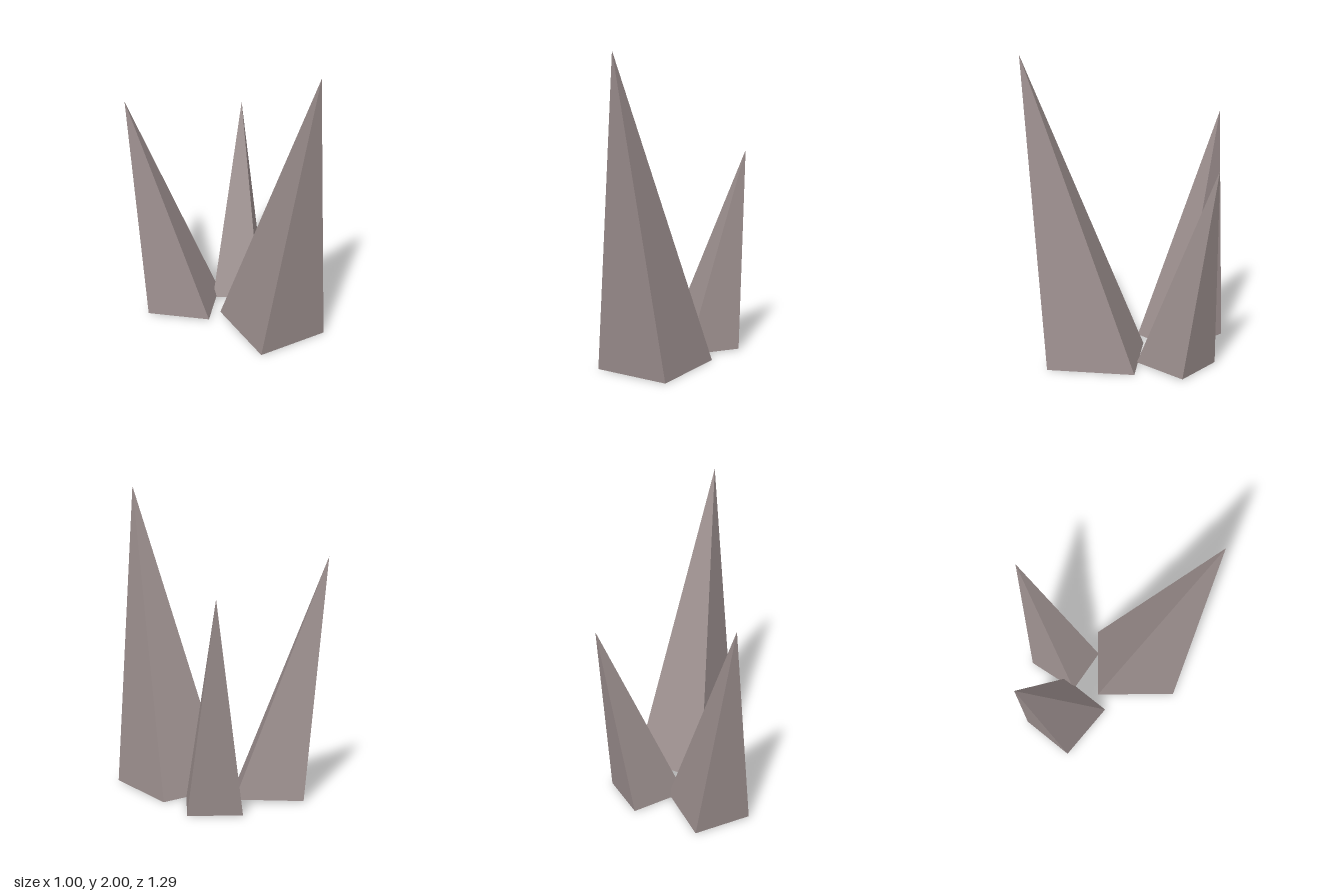
import * as THREE from 'three';

const material = new THREE.MeshStandardMaterial({ color: 0x9a8d8c, flatShading: true });

// Leaning four-sided spike: a turned rectangular base drawn up to an off-centre tip
function makeSpike({ name, center: [cx, cy, cz], width, depth, turn, tip }) {
  const corners = [[-1, 1], [1, 1], [1, -1], [-1, -1]].map(([sx, sz]) =>
    new THREE.Vector3(sx * width / 2, 0, sz * depth / 2)
      .applyAxisAngle(new THREE.Vector3(0, 1, 0), turn)
      .add(new THREE.Vector3(cx, cy, cz)));
  const apex = new THREE.Vector3(...tip);
  const points = [];
  // Sloping sides
  for (let i = 0; i < 4; i++) points.push(corners[i], corners[(i + 1) % 4], apex);
  // Underside
  for (const i of [0, 3, 2, 0, 2, 1]) points.push(corners[i]);

  const geometry = new THREE.BufferGeometry().setFromPoints(points);
  geometry.computeVertexNormals();
  const mesh = new THREE.Mesh(geometry, material);
  mesh.name = name;
  return mesh;
}

export function createModel() {
  const group = new THREE.Group();
  group.name = 'rockSpikes';
  const spikes = [
    { name: 'frontSpike', center: [0.213, 0, 0.17], width: 0.507, depth: 0.57, turn: 0, tip: [0.213, 2, 0.642] },
    { name: 'rightSpike', center: [-0.208, 0.01, -0.353], width: 0.44, depth: 0.391, turn: -0.69, tip: [-0.49, 1.557, -0.585] },
    { name: 'leftSpike', center: [0.25, 0.005, -0.363], width: 0.343, depth: 0.381, turn: -0.592, tip: [0.425, 1.35, -0.625] },
  ];
  for (const spike of spikes) group.add(makeSpike(spike));
  return group;
}
